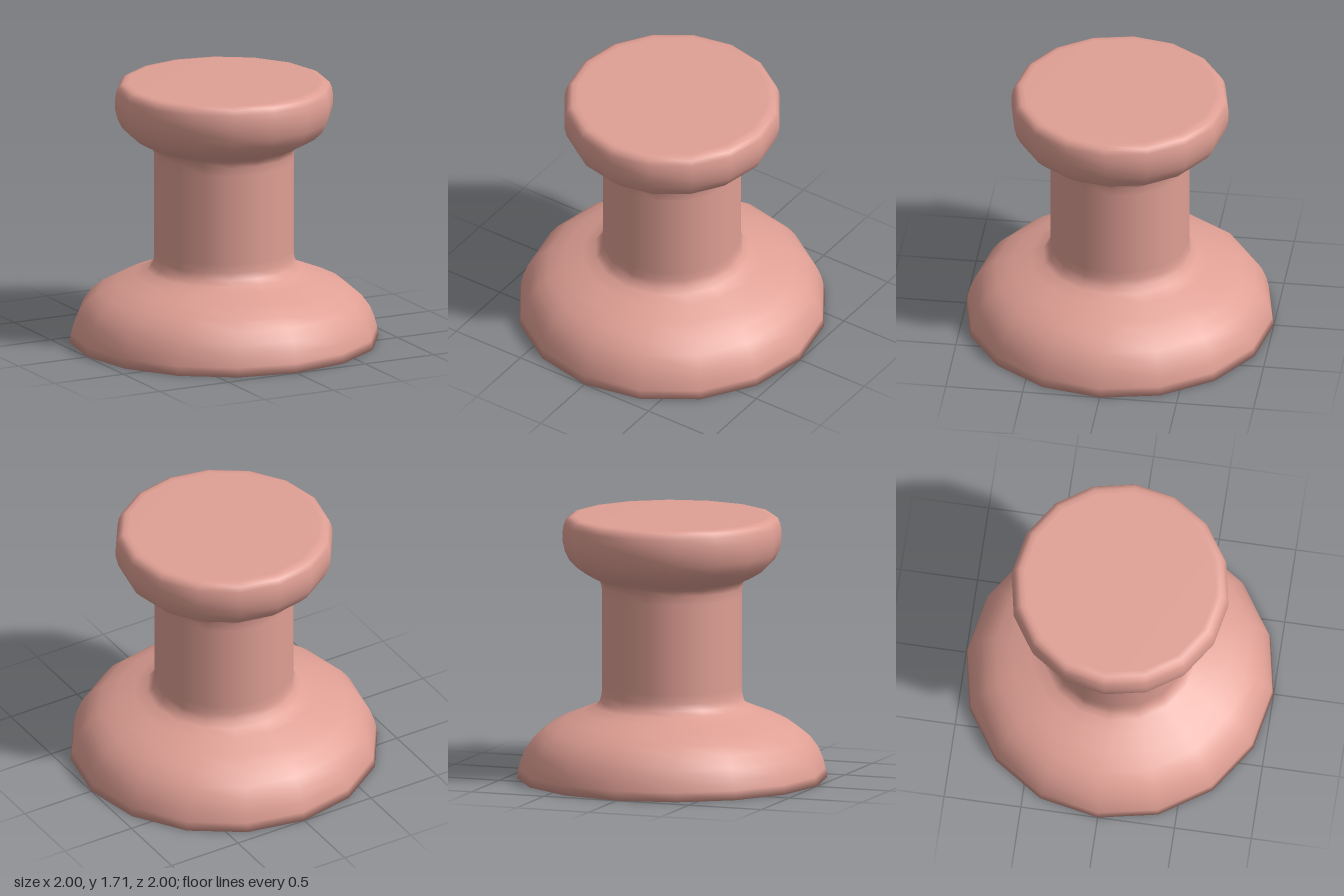
import * as THREE from 'three';

const SIDES = 16;

export function createModel() {
  const group = new THREE.Group();
  group.name = 'spool';
  const pink = new THREE.MeshStandardMaterial({ color: 0xdf9f94 });
  pink.name = 'dustyPink';

  // Turns a [radius, height] profile, listed bottom to top, into a smooth part
  const turned = (name, profile) => {
    const points = profile.map(([r, y]) => new THREE.Vector2(r, y));
    const mesh = new THREE.Mesh(new THREE.LatheGeometry(points, SIDES), pink);
    mesh.name = name;
    group.add(mesh);
  };

  // Domed foot with a flat underside, flowing into the shaft
  turned('base', [
    [0, 0], [0.5, 0], [1, 0], [0.99, 0.06], [0.975, 0.12], [0.945, 0.195],
    [0.89, 0.27], [0.81, 0.335], [0.7, 0.39], [0.58, 0.437], [0.5, 0.47],
    [0.465, 0.505], [0.453, 0.55], [0.452, 0.6],
  ]);

  // Straight column; the seams sit where the profile is vertical
  turned('shaft', [[0.452, 0.6], [0.452, 1.2]]);

  // Rounded flat-topped knob
  turned('head', [
    [0.452, 1.2], [0.453, 1.25], [0.465, 1.285], [0.49, 1.305], [0.55, 1.335],
    [0.61, 1.37], [0.66, 1.42], [0.69, 1.48], [0.706, 1.55], [0.706, 1.61],
    [0.697, 1.66], [0.683, 1.692], [0.655, 1.708], [0.62, 1.71], [0, 1.71],
  ]);

  return group;
}
